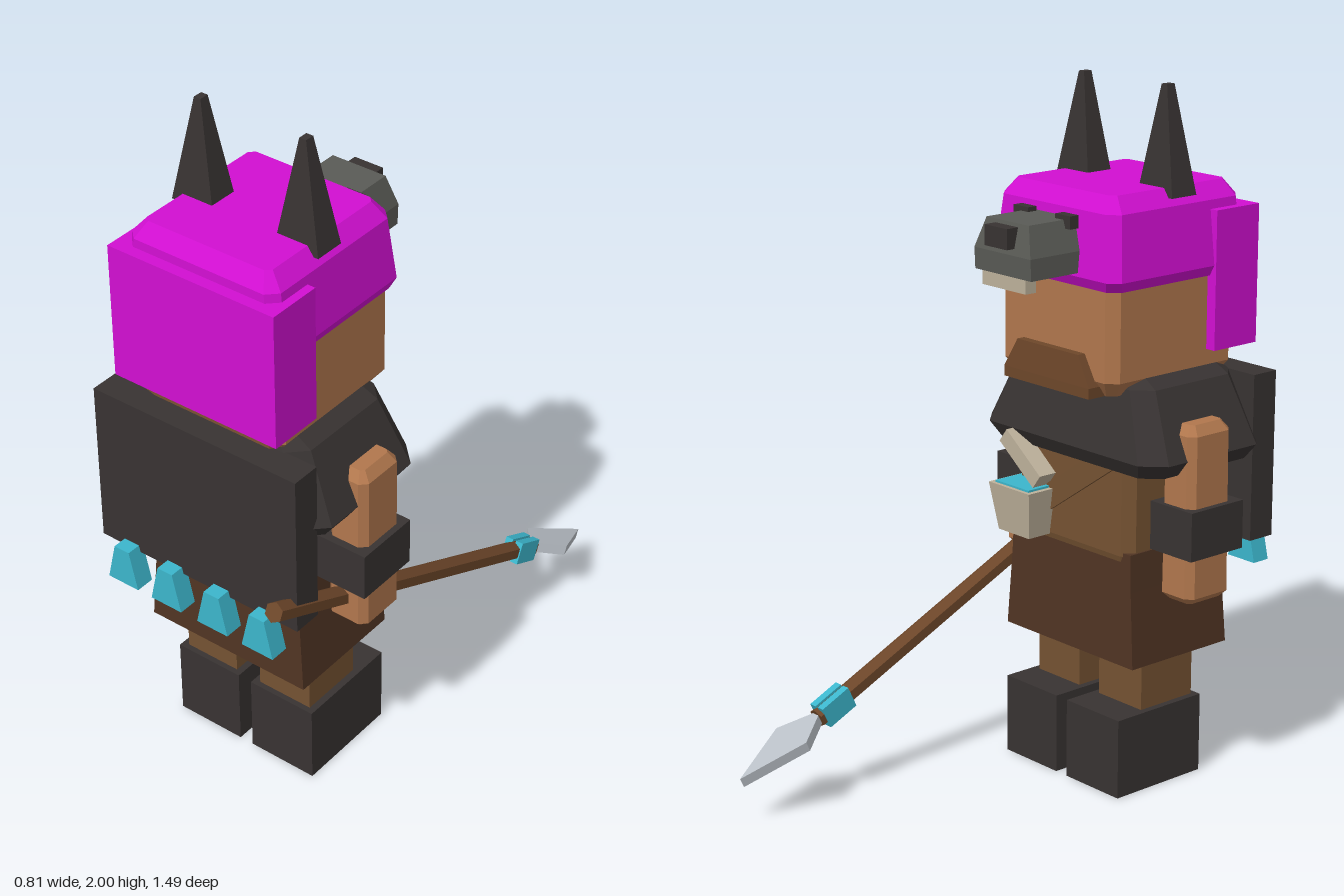
import * as THREE from 'three';

const mat = (name, color) => {
  const m = new THREE.MeshStandardMaterial({ color });
  m.name = name;
  return m;
};

export function createModel() {
  const skin = mat('skin', 0xb1774d), hood = mat('magenta', 0xd20fd2), dark = mat('charcoal', 0x383332);
  const leather = mat('leather', 0x503423), cloth = mat('brown cloth', 0x755232), wood = mat('wood', 0x6e472a);
  const grey = mat('fur grey', 0x5a5b56), bone = mat('bone', 0xbdb19b), cyan = mat('cyan', 0x3cb6cc);
  const steel = mat('steel', 0xb9bfc6);
  const model = new THREE.Group();
  model.name = 'hornedWarrior';

  const add = (name, geo, material, parent = model) => {
    const m = new THREE.Mesh(geo, material);
    m.name = name;
    parent.add(m);
    return m;
  };
  // box from its limits on each axis
  const box = (name, material, [x0, x1], [y0, y1], [z0, z1], parent) => {
    const m = add(name, new THREE.BoxGeometry(x1 - x0, y1 - y0, z1 - z0), material, parent);
    m.position.set((x0 + x1) / 2, (y0 + y1) / 2, (z0 + z1) / 2);
    return m;
  };
  // stack of rectangles with cut corners; ring = [y, x0, x1, z0, z1, corner]
  const loft = (name, material, rings, parent) => {
    const loops = rings.map(([y, x0, x1, z0, z1, c = 0]) => [
      [x1, z0 + c], [x1, z1 - c], [x1 - c, z1], [x0 + c, z1],
      [x0, z1 - c], [x0, z0 + c], [x0 + c, z0], [x1 - c, z0],
    ].map(([x, z]) => [x, y, z]));
    const pos = [];
    const tri = (...pts) => pts.forEach((p) => pos.push(...p));
    for (let r = 0; r < loops.length - 1; r++) {
      for (let i = 0; i < 8; i++) {
        const j = (i + 1) % 8, lo = loops[r], up = loops[r + 1];
        tri(lo[i], up[i], up[j]);
        tri(lo[i], up[j], lo[j]);
      }
    }
    const first = loops[0], last = loops[loops.length - 1];
    for (let i = 1; i < 7; i++) {
      tri(first[0], first[i], first[i + 1]);
      tri(last[0], last[i + 1], last[i]);
    }
    const g = new THREE.BufferGeometry();
    g.setAttribute('position', new THREE.Float32BufferAttribute(pos, 3));
    g.computeVertexNormals();
    return add(name, g, material, parent);
  };

  // boots, legs, arms, bracers and horns, mirrored
  for (const s of [1, -1]) {
    const side = s > 0 ? 'left' : 'right';
    const span = (a, b) => (s > 0 ? [a, b] : [-b, -a]);
    box(side + 'Boot', dark, span(0.022, 0.238), [0, 0.235], [0.16, 0.482]);
    box(side + 'Leg', cloth, span(0.042, 0.218), [0.235, 0.42], [0.267, 0.465]);
    const arm = (y, d, c) => [y, ...span(0.262 + d, 0.39 - d), 0.28 + d, 0.445 - d, c];
    loft(side + 'Arm', skin, [
      arm(0.585, 0.02, 0.01), arm(0.605, 0, 0.02), arm(1.07, 0.003, 0.02), arm(1.098, 0.025, 0.01),
    ]);
    box(side + 'Bracer', dark, span(0.245, 0.407), [0.725, 0.865], [0.267, 0.466]);
    loft(side + 'Horn', dark, [
      [1.7, ...span(0.1, 0.235), 0.34, 0.432],
      [2.0, ...span(0.155, 0.176), 0.372, 0.4],
    ]);
  }

  // skirt with waistband, and torso
  loft('skirt', leather, [
    [0.39, -0.266, 0.266, 0.185, 0.552], [0.61, -0.25, 0.25, 0.19, 0.545], [0.72, -0.245, 0.245, 0.192, 0.543],
  ]);
  loft('torso', cloth, [
    [0.66, -0.22, 0.22, 0.2, 0.53, 0.02], [0.71, -0.24, 0.24, 0.187, 0.543, 0.03],
    [1.15, -0.235, 0.235, 0.195, 0.54, 0.03],
  ]);
  const strap = box('chestStrap', cloth, [-0.25, 0.25], [0.84, 0.91], [0.18, 0.19]);
  strap.rotation.z = -0.6;
  strap.scale.x = 0.9;

  // shoulder mantle and back cape
  loft('mantle', dark, [
    [0.955, -0.335, 0.335, 0.18, 0.59, 0.05], [1.0, -0.37, 0.367, 0.153, 0.612, 0.06],
    [1.19, -0.28, 0.28, 0.195, 0.575, 0.05], [1.235, -0.2, 0.2, 0.225, 0.55, 0.03],
  ]);
  box('cape', dark, [-0.338, 0.333], [0.705, 1.19], [0.57, 0.657]);
  [-0.235, -0.083, 0.077, 0.23].forEach((x, i) => loft('capeFringe' + (i + 1), cyan, [
    [0.61, x - 0.052, x + 0.052, 0.642, 0.699],
    [0.725, x - 0.025, x + 0.025, 0.642, 0.699],
  ]));

  // head and chin guard
  loft('head', skin, [
    [1.17, -0.2, 0.2, 0.155, 0.57, 0.02], [1.215, -0.235, 0.235, 0.125, 0.6, 0.03],
    [1.55, -0.235, 0.235, 0.125, 0.6, 0.03],
  ]);
  loft('beard', wood, [
    [1.17, -0.175, 0.175, 0.095, 0.155], [1.2, -0.175, 0.175, 0.095, 0.155],
    [1.285, -0.125, 0.125, 0.1, 0.155],
  ]);

  // hood with back flap
  loft('hood', hood, [
    [1.47, -0.243, 0.243, 0.12, 0.6, 0.03], [1.5, -0.26, 0.256, 0.104, 0.615, 0.03],
    [1.68, -0.238, 0.238, 0.122, 0.612, 0.03], [1.725, -0.2, 0.2, 0.155, 0.58, 0.015],
  ]);
  box('hoodFlap', hood, [-0.267, 0.265], [1.26, 1.655], [0.482, 0.646]);

  // animal muzzle on the hood
  const muzzle = new THREE.Group();
  muzzle.name = 'animalMuzzle';
  model.add(muzzle);
  loft('snout', grey, [
    [1.51, -0.117, 0.113, -0.062, 0.16], [1.57, -0.117, 0.113, -0.065, 0.16], [1.655, -0.088, 0.085, -0.045, 0.16],
  ], muzzle);
  box('nose', dark, [-0.047, 0.045], [1.588, 1.645], [-0.087, -0.04], muzzle);
  for (const s of [-1, 1]) {
    box(s > 0 ? 'leftEye' : 'rightEye', dark, [s * 0.085 - 0.03, s * 0.085 + 0.03], [1.632, 1.668], [0.078, 0.108], muzzle);
  }
  box('teeth', bone, [-0.09, 0.088], [1.47, 1.515], [-0.058, -0.022], muzzle);

  // pouch with a bone lid on the chest
  loft('pouch', bone, [
    [0.705, 0.085, 0.215, 0.108, 0.2], [0.845, 0.065, 0.238, 0.09, 0.215],
  ]);
  box('pouchFilling', cyan, [0.08, 0.222], [0.843, 0.851], [0.102, 0.205]);
  const lid = box('pouchLid', bone, [0.06, 0.24], [0.9, 0.95], [0.13, 0.2]);
  lid.rotation.z = 0.65;

  // spear, built along its own z and tilted
  const spear = new THREE.Group();
  spear.name = 'spear';
  spear.position.set(0.312, 0.47, 0);
  spear.rotation.x = -0.434;
  model.add(spear);
  const shaftGeo = new THREE.CylinderGeometry(0.029, 0.029, 1.33, 6).toNonIndexed();
  shaftGeo.computeVertexNormals();
  const shaft = add('spearShaft', shaftGeo, wood, spear);
  shaft.rotation.x = Math.PI / 2;
  shaft.position.z = 0.135;
  box('spearBindingLeft', cyan, [0.005, 0.029], [-0.033, 0.033], [-0.518, -0.418], spear);
  box('spearBindingRight', cyan, [-0.029, -0.005], [-0.033, 0.033], [-0.518, -0.418], spear);
  const outline = new THREE.Shape([[0.012, 0], [0.07, 0.095], [0, 0.29], [-0.07, 0.095], [-0.012, 0]]
    .map(([x, y]) => new THREE.Vector2(x, y)));
  const bladeGeo = new THREE.ExtrudeGeometry(outline, { depth: 0.03, bevelEnabled: false });
  bladeGeo.translate(0, 0, -0.015).rotateX(-Math.PI / 2);
  add('spearBlade', bladeGeo, steel, spear).position.z = -0.53;

  return model;
}
